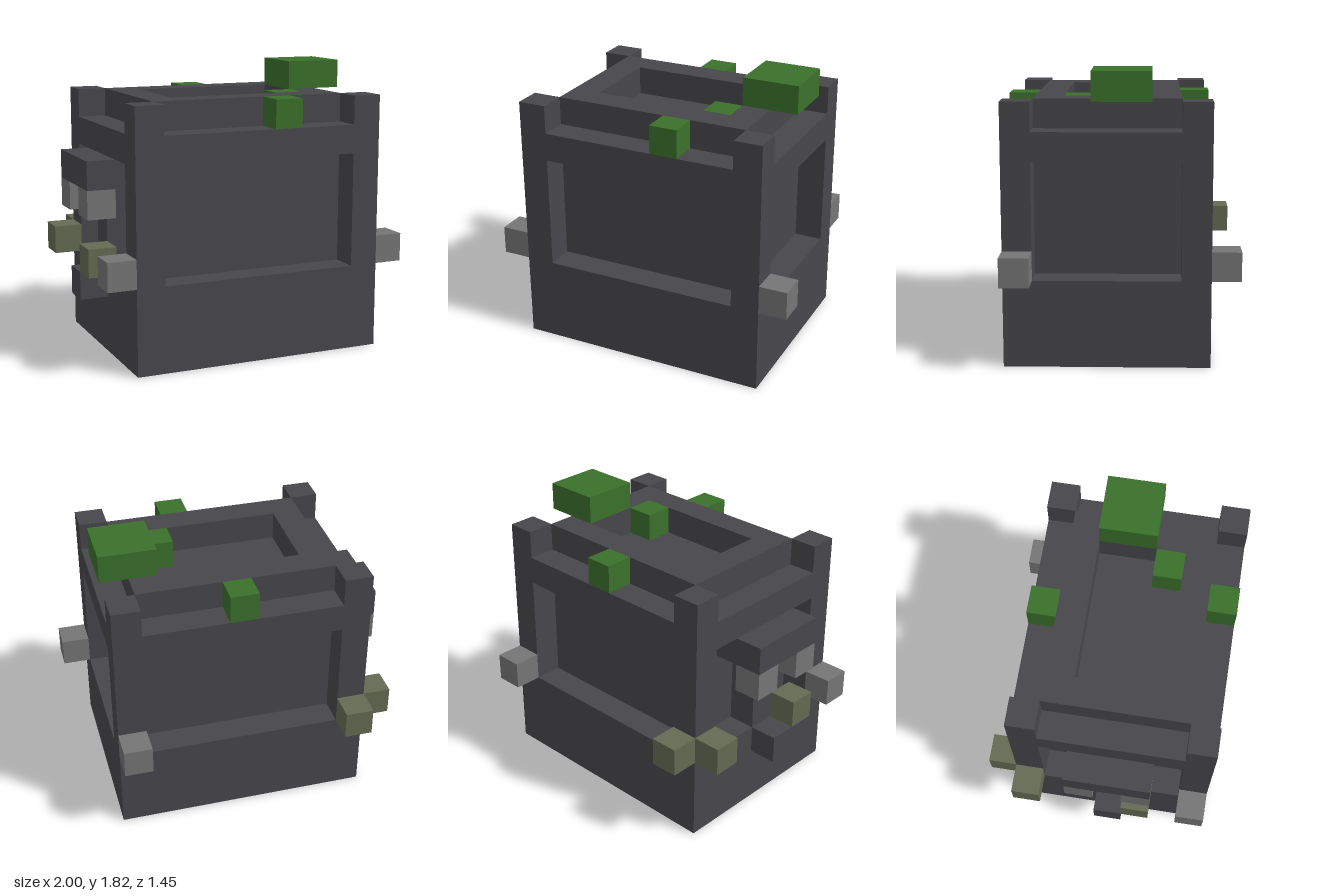
import * as THREE from 'three';

const U = 2 / 11; // one block of the grid

export function createModel() {
  const model = new THREE.Group();
  model.name = 'blockLantern';

  const mat = (name, color) => {
    const m = new THREE.MeshStandardMaterial({ color });
    m.name = name;
    return m;
  };
  const stone = mat('darkStone', 0x47464b);
  const moss = mat('mossGreen', 0x3a702b);
  const pebble = mat('pebbleGrey', 0x757575);
  const lichen = mat('lichenOlive', 0x646a52);

  // Box from a grid corner [x, y, z] and a size in blocks
  const block = (name, material, [x, y, z], [w, h, d] = [1, 1, 1]) => {
    const mesh = new THREE.Mesh(new THREE.BoxGeometry(w * U, h * U, d * U), material);
    mesh.name = name;
    mesh.position.set((x + w / 2 - 5.5) * U, (y + h / 2) * U, (z + d / 2 - 4) * U);
    model.add(mesh);
  };

  // Body: solid base, inset core, corner posts
  block('base', stone, [1, 0, 1], [9, 3, 7]);
  block('core', stone, [2, 3, 2], [7, 5, 5]);
  for (const x of [1, 9]) for (const z of [1, 7]) block('cornerPost', stone, [x, 3, z], [1, 6, 1]);

  // Beams between the posts, above the sunken panels
  for (const z of [1, 7]) block('crossBeam', stone, [2, 7, z], [7, 1, 1]);
  for (const x of [1, 9]) block('sideBeam', stone, [x, 7, 2], [1, 1, 5]);

  // Raised rim around the sunken top
  for (const z of [2, 6]) block('rimLong', stone, [2, 8, z], [7, 1, 1]);
  for (const x of [2, 8]) block('rimShort', stone, [x, 8, 3], [1, 1, 3]);

  // Relief on the right side: brow, stem and tip
  block('brow', stone, [0, 6, 3], [2, 1, 3]);
  block('stem', stone, [1, 3, 4], [1, 3, 1]);
  block('tip', stone, [0, 2, 4]);

  // Moss on the top
  block('mossSlab', moss, [8, 9, 3], [2, 1, 2]);
  for (const p of [[5, 8, 1], [6, 8, 7], [7, 8, 5]]) block('mossTuft', moss, p);

  // Small cubes stuck to the sides
  for (const p of [[0, 5, 3], [0, 5, 5], [0, 3, 7], [10, 3, 7], [9, 3, 0]]) block('pebble', pebble, p);
  for (const p of [[0, 3, 5], [0, 3, 1], [1, 3, 0]]) block('lichenPebble', lichen, p);

  return model;
}
